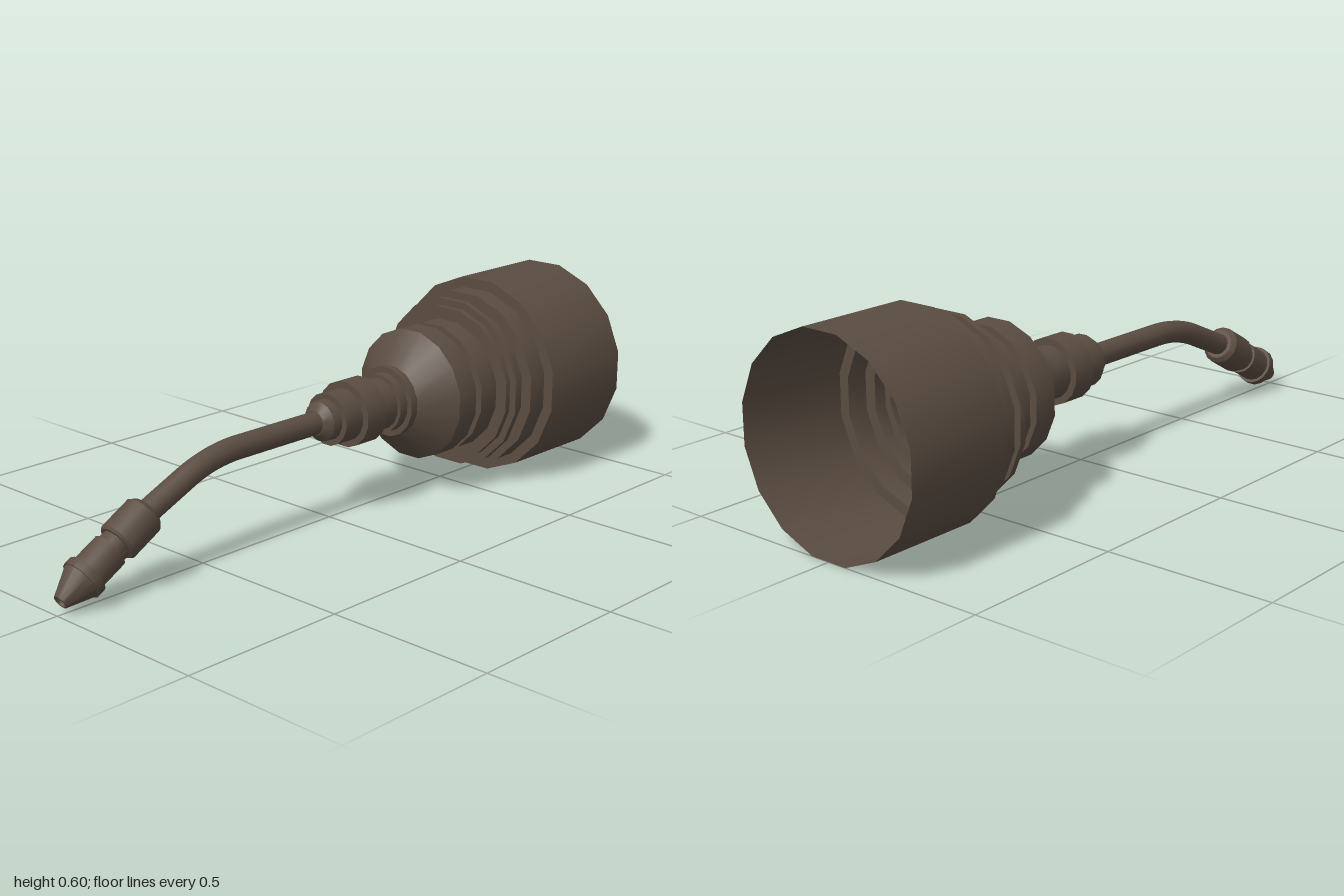
import * as THREE from 'three';
import { toCreasedNormals } from 'three/addons/utils/BufferGeometryUtils.js';

const SIDES = 16;
const AXIS_Y = 0.303;

export function createModel() {
  const group = new THREE.Group();
  const bronze = new THREE.MeshStandardMaterial({ color: 0x5a4c41, side: THREE.DoubleSide });
  bronze.name = 'dark bronze';

  // Sixteen-sided turned part along +z; profile pairs are [z, half-width across flats]
  function turned(name, profile) {
    const k = 1 / Math.cos(Math.PI / SIDES);
    const points = profile.map(([z, r]) => new THREE.Vector2(r * k, z));
    const geometry = new THREE.LatheGeometry(points, SIDES, Math.PI / SIDES);
    geometry.rotateX(Math.PI / 2);
    const mesh = new THREE.Mesh(toCreasedNormals(geometry, 0.55), bronze);
    mesh.name = name;
    group.add(mesh);
    return mesh;
  }

  // Hollow cup, open at the back
  turned('cup', [
    [-1, 0.302], [-0.66, 0.302], [-0.66, 0.27], [-0.595, 0.27],
    [-0.595, 0.235], [-0.557, 0.235], [-0.557, 0.257], [-0.538, 0.257],
    [-0.538, 0.235], [-0.52, 0.235], [-0.52, 0.197], [-0.45, 0.197],
    [-0.45, 0.175], [-0.425, 0.175], [-0.425, 0.197], [-0.35, 0.197],
    [-0.265, 0.105],
  ]).position.y = AXIS_Y;

  // Stepped collar between the cup and the pipe
  turned('collar', [
    [-0.265, 0.105], [-0.24, 0.105], [-0.24, 0.088], [-0.21, 0.088],
    [-0.21, 0.077], [-0.14, 0.077], [-0.14, 0.097], [-0.06, 0.097],
    [-0.06, 0.077], [0.01, 0.077], [0.01, 0.06], [0.04, 0.058],
    [0.062, 0.036], [0.062, 0.02],
  ]).position.y = AXIS_Y;

  // Pipe: straight run, then a bend down
  const path = new THREE.CurvePath();
  const v = (z, y) => new THREE.Vector3(0, y, z);
  path.add(new THREE.LineCurve3(v(0.03, AXIS_Y), v(0.36, AXIS_Y)));
  path.add(new THREE.QuadraticBezierCurve3(v(0.36, AXIS_Y), v(0.46, AXIS_Y), v(0.55, 0.265)));
  path.add(new THREE.LineCurve3(v(0.55, 0.265), v(0.71, 0.194)));
  const pipe = new THREE.Mesh(new THREE.TubeGeometry(path, 40, 0.034, SIDES), bronze);
  pipe.name = 'bentPipe';
  group.add(pipe);

  // Angled nozzle with sleeve, groove, ring, cone and bored tip
  const nozzle = turned('nozzle', [
    [0, 0.03], [0, 0.046], [0.014, 0.058], [0.115, 0.058],
    [0.122, 0.052], [0.122, 0.044], [0.148, 0.044], [0.148, 0.051],
    [0.235, 0.051], [0.235, 0.06], [0.26, 0.06], [0.26, 0.056],
    [0.34, 0.021], [0.34, 0.017], [0.3, 0.017], [0.3, 0],
  ]);
  nozzle.position.set(0, 0.203, 0.693);
  nozzle.rotation.x = 0.514;

  return group;
}
